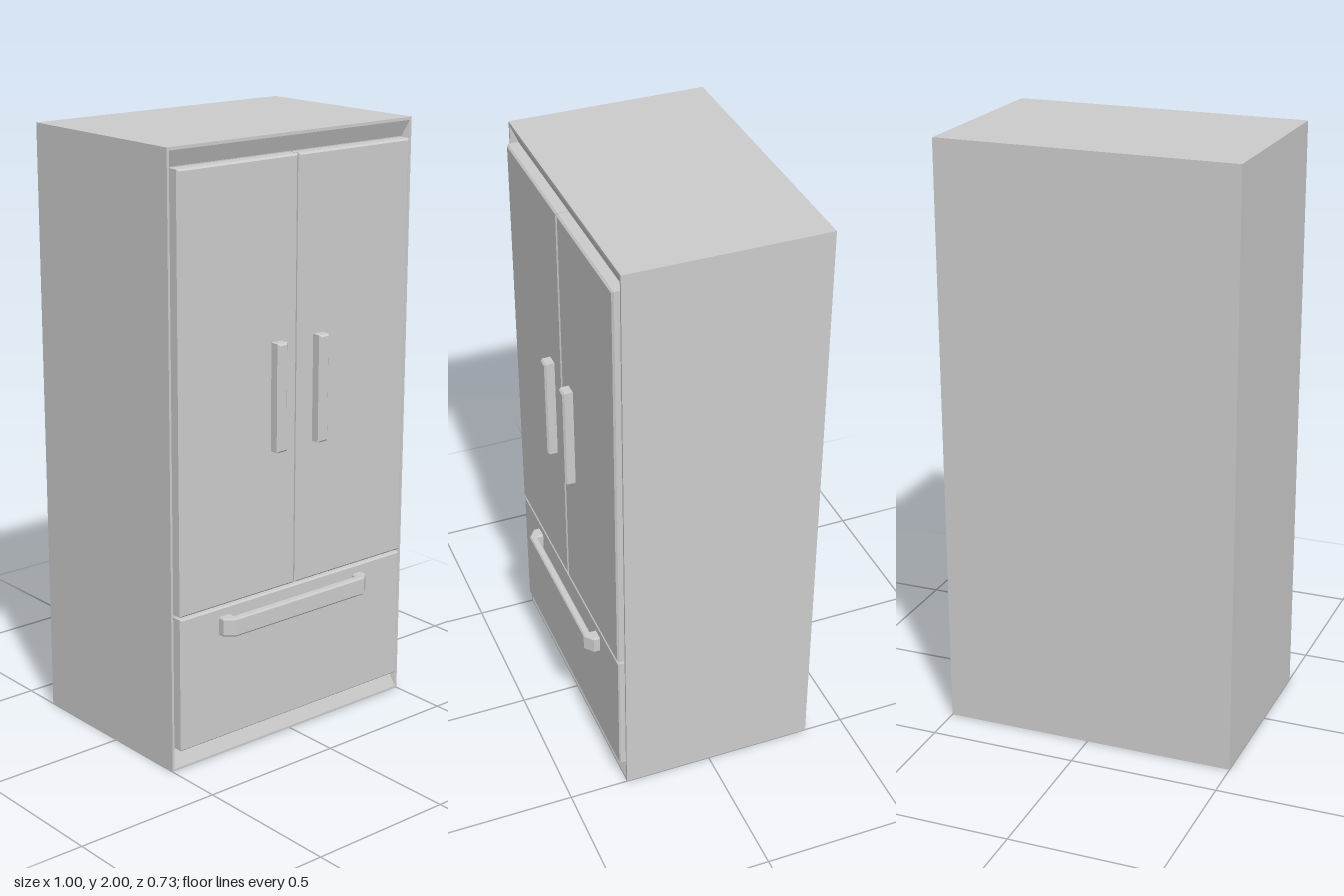
import * as THREE from 'three';

const material = new THREE.MeshStandardMaterial({ color: 0xcccccc, flatShading: true });

// Lofts rectangles [x0, x1, y0, y1, z] from back to front and caps both ends.
function loft(rings) {
  const pos = [], idx = [];
  for (const [x0, x1, y0, y1, z] of rings) pos.push(x0, y0, z, x1, y0, z, x1, y1, z, x0, y1, z);
  for (let r = 0; r < rings.length - 1; r++) {
    for (let i = 0; i < 4; i++) {
      const a = r * 4 + i, b = r * 4 + (i + 1) % 4;
      idx.push(a, b, b + 4, a, b + 4, a + 4);
    }
  }
  const n = (rings.length - 1) * 4;
  idx.push(0, 2, 1, 0, 3, 2, n, n + 1, n + 2, n, n + 2, n + 3);
  const indexed = new THREE.BufferGeometry();
  indexed.setAttribute('position', new THREE.Float32BufferAttribute(pos, 3));
  indexed.setIndex(idx);
  const geometry = indexed.toNonIndexed();
  geometry.computeVertexNormals();
  return geometry;
}

// Slab with a chamfered front edge.
function slab(x0, x1, y0, y1, z0, z1, c) {
  return loft([
    [x0, x1, y0, y1, z0],
    [x0, x1, y0, y1, z1 - c],
    [x0 + c, x1 - c, y0 + c, y1 - c, z1],
  ]);
}

export function createModel() {
  const group = new THREE.Group();
  const add = (name, geometry) => {
    const mesh = new THREE.Mesh(geometry, material);
    mesh.name = name;
    group.add(mesh);
    return mesh;
  };

  // Cabinet whose front slopes in from a thin rim to a shallow recess
  add('cabinet', loft([
    [-0.5, 0.5, 0, 2, -0.365],
    [-0.5, 0.5, 0, 2, 0.3],
    [-0.492, 0.492, 0.008, 1.99, 0.3],
    [-0.478, 0.478, 0.065, 1.938, 0.278],
  ]));

  // Pair of upper doors, with upright handles
  for (const [side, s] of [['right', -1], ['left', 1]]) {
    const span = (a, b) => (s > 0 ? [a, b] : [-b, -a]);
    add(side + 'Door', slab(...span(0.002, 0.476), 0.528, 1.935, 0.27, 0.318, 0.006));
    add(side + 'DoorHandle', slab(...span(0.067, 0.108), 1.0, 1.355, 0.31, 0.352, 0.006));
  }

  // Freezer drawer
  add('drawer', slab(-0.476, 0.476, 0.07, 0.52, 0.27, 0.316, 0.004));

  // Drawer handle: a bar bent back to the drawer at both ends
  const outline = [
    [-0.316, 0.31], [-0.316, 0.335], [-0.285, 0.358], [0.27, 0.358], [0.298, 0.335], [0.298, 0.31],
    [0.264, 0.31], [0.264, 0.34], [-0.279, 0.34], [-0.279, 0.31],
  ];
  const shape = new THREE.Shape(outline.map(([x, z]) => new THREE.Vector2(x, z)));
  const handle = new THREE.ExtrudeGeometry(shape, {
    depth: 0.052, bevelEnabled: true, bevelThickness: 0.005, bevelSize: 0.004, bevelSegments: 1,
  });
  handle.rotateX(Math.PI / 2);
  handle.translate(0, 0.486, 0);
  add('drawerHandle', handle);

  return group;
}
